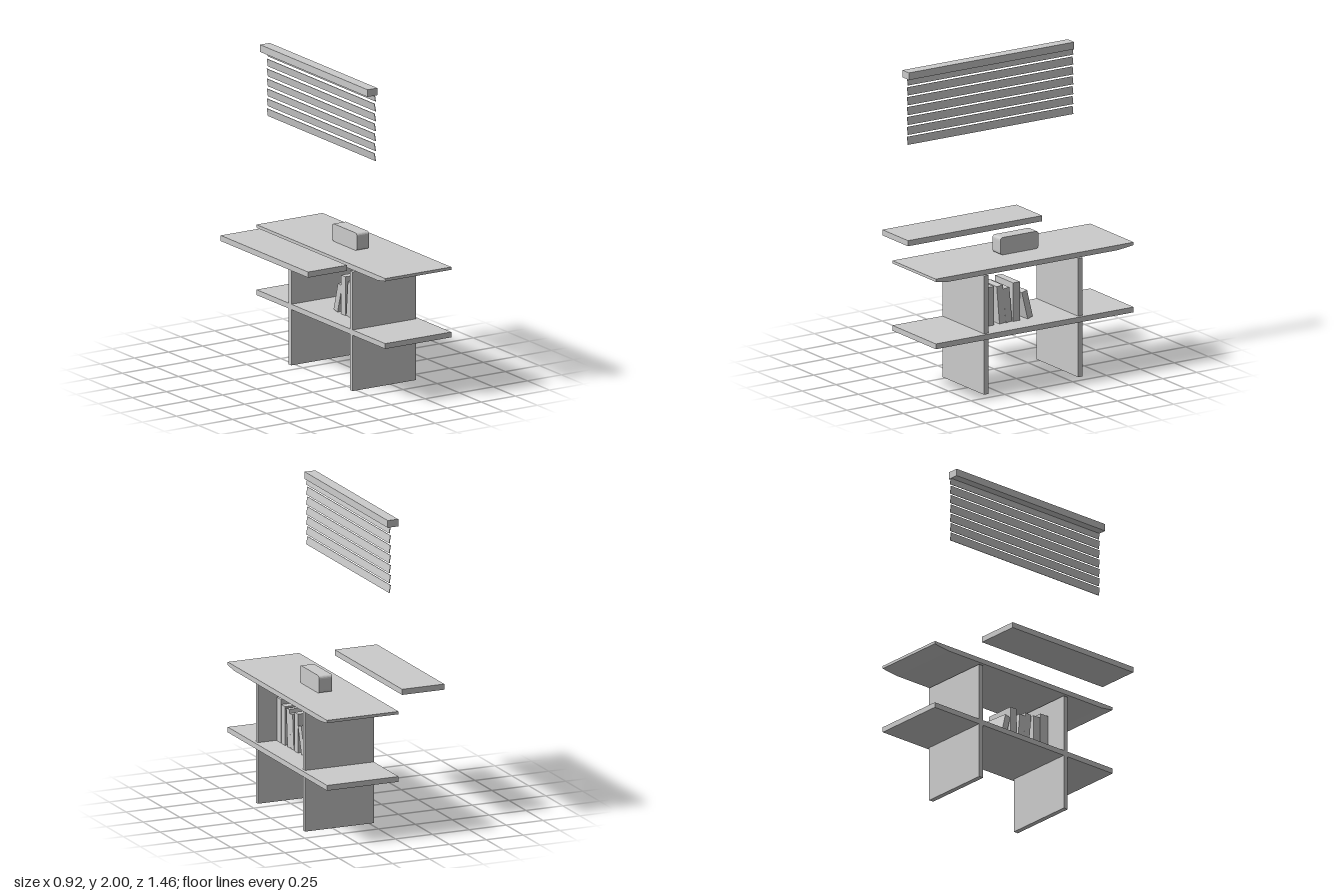
import * as THREE from 'three';

const grey = new THREE.MeshStandardMaterial({ color: 0xcccccc });

export function createModel() {
  const model = new THREE.Group();
  model.name = 'deskWithShelfAndBlind';

  const add = (parent, name, geometry) => {
    const mesh = new THREE.Mesh(geometry, grey);
    mesh.name = name;
    parent.add(mesh);
    return mesh;
  };

  // Box given by its extents along x, y and z
  const block = (parent, name, [x0, x1], [y0, y1], [z0, z1]) => {
    const mesh = add(parent, name, new THREE.BoxGeometry(x1 - x0, y1 - y0, z1 - z0));
    mesh.position.set((x0 + x1) / 2, (y0 + y1) / 2, (z0 + z1) / 2);
    return mesh;
  };

  // Shape drawn in (z, y), extruded along x from x0 to x1
  const extrudeX = (parent, name, shape, x0, x1) => {
    const geometry = new THREE.ExtrudeGeometry(shape, { depth: x1 - x0, bevelEnabled: false, curveSegments: 5 });
    geometry.rotateY(-Math.PI / 2); // shape x -> z, depth -> -x
    const mesh = add(parent, name, geometry);
    mesh.position.x = x1;
    return mesh;
  };

  // Desk: top with undercut ends, lower shelf and two upright panels
  const desk = new THREE.Group();
  desk.name = 'desk';
  model.add(desk);
  const top = new THREE.Shape([
    [-0.73, 0.81], [-0.73, 0.792], [-0.68, 0.785], [-0.61, 0.778],
    [0.64, 0.778], [0.69, 0.785], [0.73, 0.792], [0.73, 0.81],
  ].map(([z, y]) => new THREE.Vector2(z, y)));
  extrudeX(desk, 'deskTop', top, -0.03, 0.455);
  block(desk, 'lowerShelf', [-0.03, 0.455], [0.36, 0.394], [-0.73, 0.73]);
  for (const z of [0.345, -0.35]) {
    block(desk, 'uprightPanel', [-0.03, 0.435], [0.003, 0.765], [z - 0.016, z + 0.016]);
  }

  // Rounded box standing on the desk top
  const z0 = -0.165, z1 = 0.117, y0 = 0.812, y1 = 0.924, r = 0.022;
  const body = new THREE.Shape();
  body.moveTo(z0 + r, y0);
  body.lineTo(z1 - r, y0).quadraticCurveTo(z1, y0, z1, y0 + r);
  body.lineTo(z1, y1 - r).quadraticCurveTo(z1, y1, z1 - r, y1);
  body.lineTo(z0 + r, y1).quadraticCurveTo(z0, y1, z0, y1 - r);
  body.lineTo(z0, y0 + r).quadraticCurveTo(z0, y0, z0 + r, y0);
  extrudeX(model, 'deskBox', body, 0.16, 0.248);

  // Books: centre z at the foot, thickness, height, lean, yaw
  const books = new THREE.Group();
  books.name = 'books';
  model.add(books);
  [
    [0.292, 0.062, 0.278, 0, 0],
    [0.23, 0.053, 0.248, 0, 0],
    [0.141, 0.046, 0.244, 0.085, 0],
    [0.094, 0.046, 0.222, 0.09, 0],
    [0.039, 0.05, 0.248, 0, 0],
    [-0.056, 0.042, 0.182, 0.25, 0.07],
  ].forEach(([z, thickness, height, lean, yaw]) => {
    const geometry = new THREE.BoxGeometry(0.2, height, thickness);
    geometry.translate(0, height / 2, 0);
    const book = add(books, 'book', geometry);
    book.rotation.set(lean, yaw, 0, 'YXZ');
    book.position.set(0.21, 0.394 + Math.sin(lean) * thickness / 2, z);
  });

  // Separate shelf behind the desk
  block(model, 'wallShelf', [-0.46, -0.174], [0.832, 0.868], [-0.47, 0.52]);

  // Blind: head rail with tilted slats hanging under it
  const blind = new THREE.Group();
  blind.name = 'blind';
  model.add(blind);
  block(blind, 'headRail', [-0.087, -0.015], [1.954, 2], [-0.602, 0.618]);
  for (let i = 0; i < 7; i++) {
    const slat = add(blind, 'slat', new THREE.BoxGeometry(0.004, 0.05, 1.22));
    slat.position.set(-0.031, 1.56 + i * 0.0635, 0.008);
    slat.rotation.z = 0.16;
  }

  return model;
}
